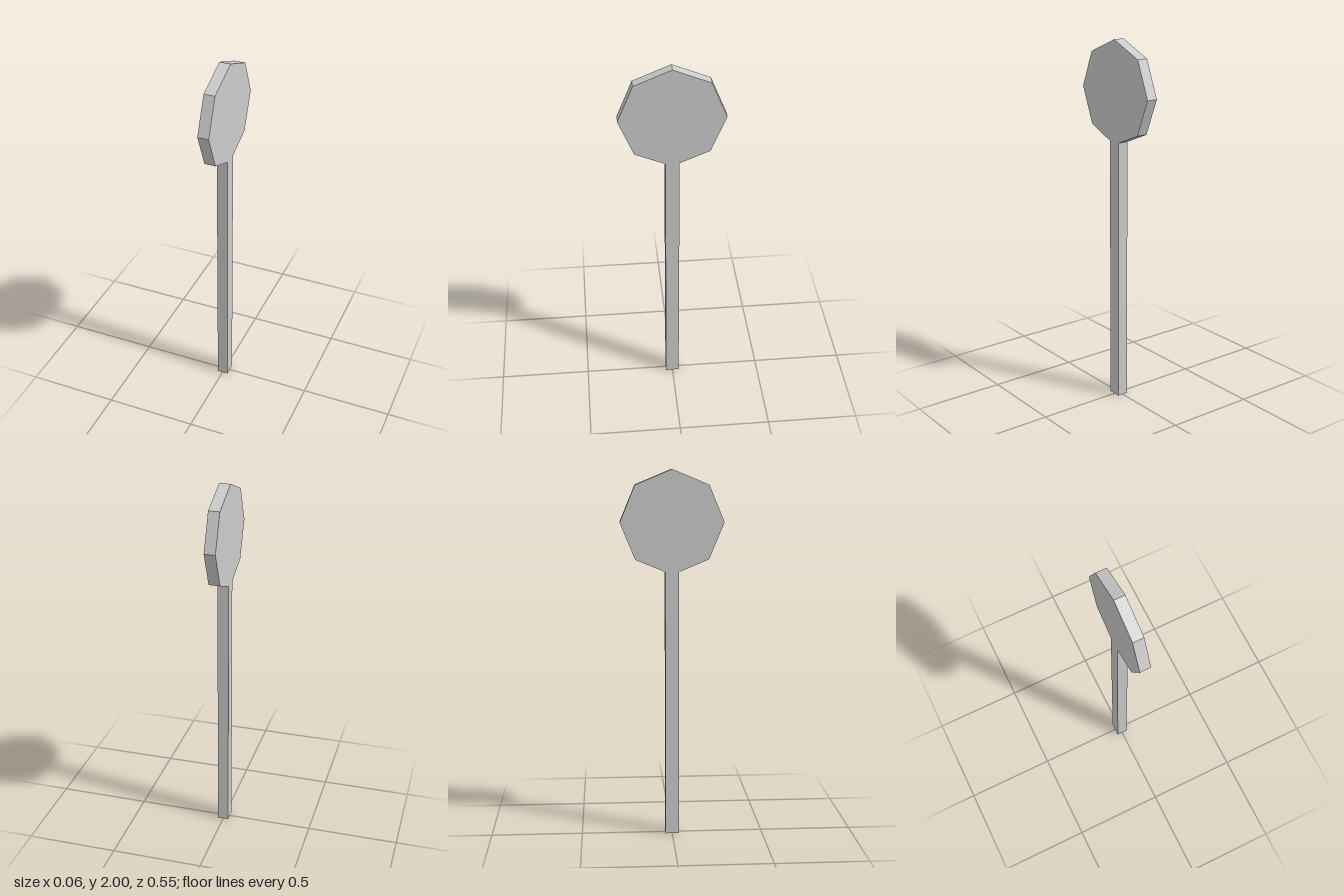
import * as THREE from 'three';

const THICKNESS = 0.06;
const HEAD_RADIUS = 0.277;
const POST_HALF_WIDTH = 0.037;

export function createModel() {
  const group = new THREE.Group();
  const material = new THREE.MeshStandardMaterial({ color: 0xcccccc, flatShading: true });

  const add = (name, geometry) => {
    const mesh = new THREE.Mesh(geometry, material);
    mesh.name = name;
    group.add(mesh);
    return mesh;
  };

  // Octagonal sign plate, standing on one corner and facing sideways
  const plate = new THREE.CylinderGeometry(HEAD_RADIUS, HEAD_RADIUS, THICKNESS, 8);
  plate.rotateZ(Math.PI / 2);
  add('signPlate', plate).position.y = 2 - HEAD_RADIUS;

  // Flat post, its top notched to fit the plate's lowest corner
  const notch = 2 - 2 * HEAD_RADIUS;
  const shoulder = notch + POST_HALF_WIDTH * Math.tan(Math.PI / 8);
  const outline = new THREE.Shape([
    new THREE.Vector2(-POST_HALF_WIDTH, 0),
    new THREE.Vector2(POST_HALF_WIDTH, 0),
    new THREE.Vector2(POST_HALF_WIDTH, shoulder),
    new THREE.Vector2(0, notch),
    new THREE.Vector2(-POST_HALF_WIDTH, shoulder),
  ]);
  const post = new THREE.ExtrudeGeometry(outline, { depth: THICKNESS, bevelEnabled: false });
  post.translate(0, 0, -THICKNESS / 2);
  post.rotateY(Math.PI / 2);
  add('post', post);

  return group;
}
